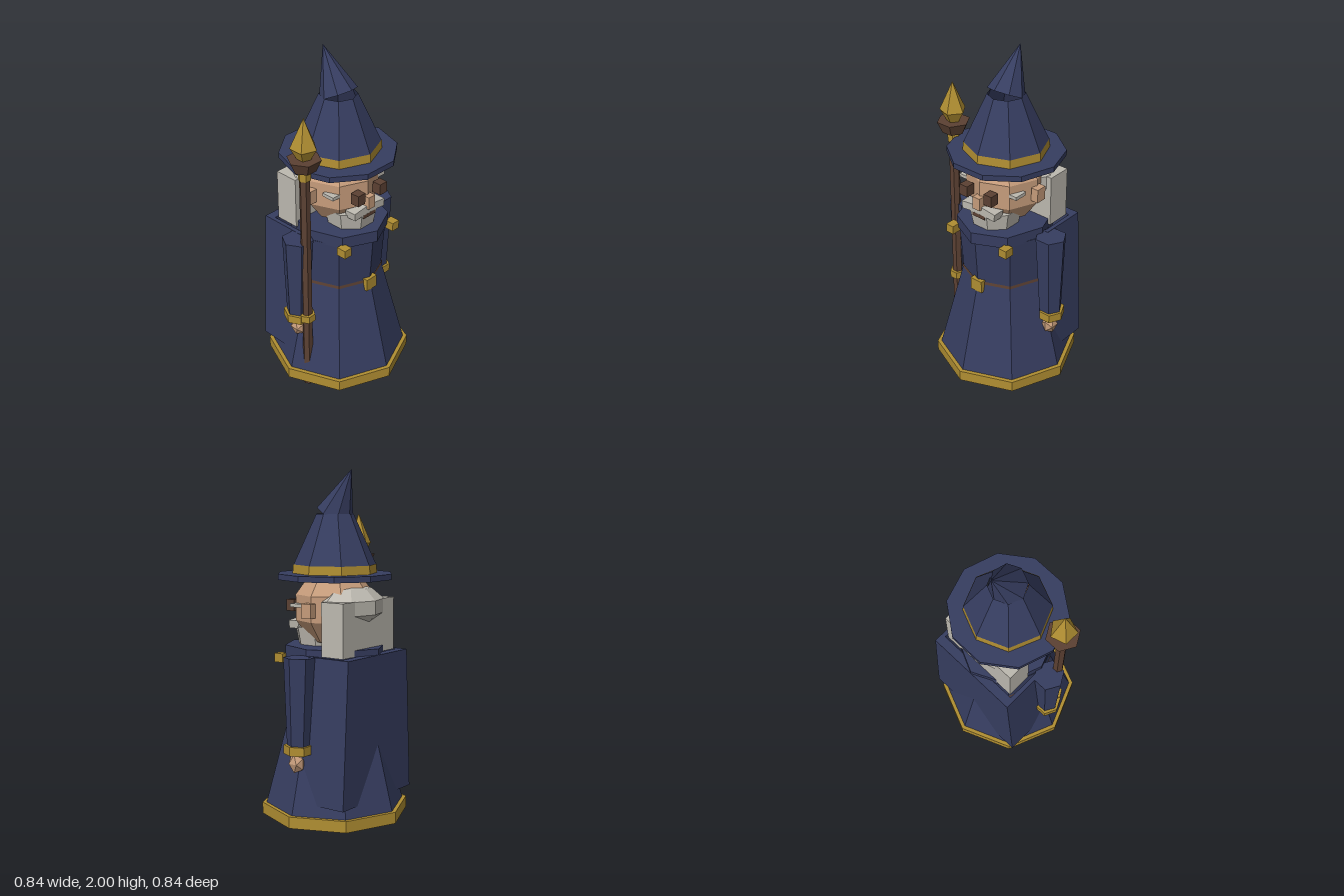
import * as THREE from 'three';

const mat = (name, color, side = THREE.FrontSide) => {
  const m = new THREE.MeshStandardMaterial({ color, flatShading: true, side });
  m.name = name;
  return m;
};

export function createModel() {
  const root = new THREE.Group();
  root.name = 'wizard';
  const D = THREE.DoubleSide;
  const navy = mat('navy cloth', 0x363d60, D);
  const gold = mat('gold', 0xb08e32, D);
  const skin = mat('skin', 0xc69c7b);
  const grey = mat('grey hair', 0xbdb9b0);
  const brown = mat('brown wood', 0x5c4133, D);

  const add = (name, geo, material, x = 0, y = 0, z = 0) => {
    const m = new THREE.Mesh(geo, material);
    m.name = name;
    m.position.set(x, y, z);
    root.add(m);
    return m;
  };
  const box = (name, material, w, h, d, x, y, z) =>
    add(name, new THREE.BoxGeometry(w, h, d), material, x, y, z);
  // Faceted ring or drum between two heights
  const drum = (name, material, rTop, rBot, y0, y1, sides = 8, open = false, x = 0, z = 0, turn = 0) =>
    add(name, new THREE.CylinderGeometry(rTop, rBot, y1 - y0, sides, 1, open, turn),
      material, x, (y0 + y1) / 2, z);
  const ball = (name, material, r, x, y, z) => {
    const g = new THREE.SphereGeometry(1, 8, 5);
    g.scale(...r);
    return add(name, g, material, x, y, z);
  };
  const Q = Math.PI / 2;

  // Robe
  drum('robeHem', navy, 0.41, 0.415, 0.046, 0.109);
  drum('hemTrim', gold, 0.421, 0.421, 0.045, 0.11, 8, true);
  const hemTop = add('hemTrimTop', new THREE.RingGeometry(0.38, 0.421, 8), gold, 0, 0.11, 0);
  hemTop.rotation.x = -Q;
  drum('robeSkirt', navy, 0.25, 0.4, 0.1, 0.67);
  drum('robeTorso', navy, 0.27, 0.25, 0.67, 0.96);
  drum('belt', brown, 0.255, 0.257, 0.657, 0.675, 8, true);
  box('buckle', gold, 0.08, 0.075, 0.05, 0, 0.648, 0.242);
  drum('collar', navy, 0.3, 0.3, 0.95, 1.02).scale.x = 0.88;

  // Cape: slabs that flare towards the bottom
  const slab = (name, w, d, x, z) => {
    const g = new THREE.BoxGeometry(w, 0.815, d);
    const p = g.attributes.position;
    for (let i = 0; i < p.count; i++) {
      const px = p.getX(i) + x;
      p.setX(i, p.getY(i) < 0 ? px * 1.158 : px);
    }
    g.computeVertexNormals();
    add(name, g, navy, 0, 0.578, z);
  };
  slab('capeBack', 0.57, 0.055, 0, -0.2725);

  for (const s of [1, -1]) {
    slab('capeSide', 0.025, 0.28, s * 0.2725, -0.16);

    // Arm, cuff and hand
    const arm = drum('sleeve', navy, 0.09, 0.066, 0.49, 0.985, 6, false, s * 0.327, 0, Q);
    arm.rotation.z = s * 0.02;
    drum('cuff', gold, 0.068, 0.068, 0.45, 0.5, 6, false, s * 0.344, 0, Q).scale.z = 1.2;
    const hand = add('hand', new THREE.IcosahedronGeometry(0.05, 0), skin, s * 0.339, 0.395, 0.01);
    hand.scale.set(0.9, 1.2, 1);

    // Open-soled boot
    const boot = new THREE.CylinderGeometry(Math.SQRT1_2, Math.SQRT1_2, 1, 4, 1, true);
    boot.rotateY(Math.PI / 4);
    boot.scale(0.178, 0.05, 0.275);
    add('boot', boot, brown, s * 0.123, 0.025, 0.048);

    // Clasps and face pairs
    box('clasp', gold, 0.052, 0.05, 0.06, s * 0.195, 0.947, 0.235);
    box('eye', brown, 0.055, 0.065, 0.055, s * 0.087, 1.238, 0.232);
    box('ear', skin, 0.045, 0.08, 0.065, s * 0.234, 1.23, 0.008);
    box('eyebrow', grey, 0.06, 0.02, 0.08, s * 0.175, 1.25, 0.12);
    const whisker = box('moustache', grey, 0.12, 0.045, 0.07, s * 0.058, 1.137, 0.205);
    whisker.rotation.z = -s * 0.12;
  }

  // Head, beard and hair
  ball('head', skin, [0.232, 0.235, 0.236], 0, 1.235, 0);
  box('nose', skin, 0.05, 0.075, 0.06, 0, 1.185, 0.225);
  box('mouth', brown, 0.09, 0.022, 0.03, 0, 1.1, 0.222);
  const beard = drum('beard', grey, 0.155, 0.135, 1.015, 1.12, 8, false, 0, 0.095);
  beard.rotation.y = Math.PI / 8;
  ball('hairCap', grey, [0.235, 0.125, 0.175], 0, 1.245, -0.11);
  box('longHair', grey, 0.49, 0.3, 0.145, 0, 1.135, -0.1625);

  // Hat: ten-sided brim with an eight-sided opening, band, crown and bent tip
  const ngon = (T, n, r) => {
    const pts = [];
    for (let i = 0; i < n; i++) {
      const a = (i / n) * Math.PI * 2;
      pts.push(new THREE.Vector2(Math.cos(a) * r, Math.sin(a) * r));
    }
    return new T(pts);
  };
  const brimShape = ngon(THREE.Shape, 10, 0.33);
  brimShape.holes.push(ngon(THREE.Path, 8, 0.228));
  const brim = new THREE.ExtrudeGeometry(brimShape, { depth: 0.032, bevelEnabled: false });
  brim.rotateX(-Q);
  add('hatBrim', brim, navy, 0, 1.394, 0);
  drum('hatBand', gold, 0.236, 0.24, 1.42, 1.475, 8, true);
  drum('hatCrown', navy, 0.105, 0.236, 1.47, 1.755, 8, true);
  const tip = add('hatTip', new THREE.ConeGeometry(0.108, 0.27, 8), navy, 0, 1.878, -0.057);
  tip.rotation.x = -0.437;

  // Staff
  const sx = -0.327, sz = 0.07;
  drum('staffShaft', brown, 0.03, 0.03, 0, 1.46, 6, false, sx, sz, Q);
  drum('staffLowerBand', gold, 0.047, 0.047, 0.465, 0.51, 6, false, sx, sz, Q);
  drum('staffUpperBand', gold, 0.036, 0.036, 1.39, 1.445, 6, false, sx, sz, Q);
  drum('staffCup', brown, 0.095, 0.065, 1.45, 1.517, 6, false, sx, sz, Q);
  drum('gemBase', gold, 0.074, 0.035, 1.51, 1.58, 5, false, sx, sz, 0.3);
  drum('gemTip', gold, 0, 0.076, 1.58, 1.75, 5, false, sx, sz, 0.3);

  return root;
}
